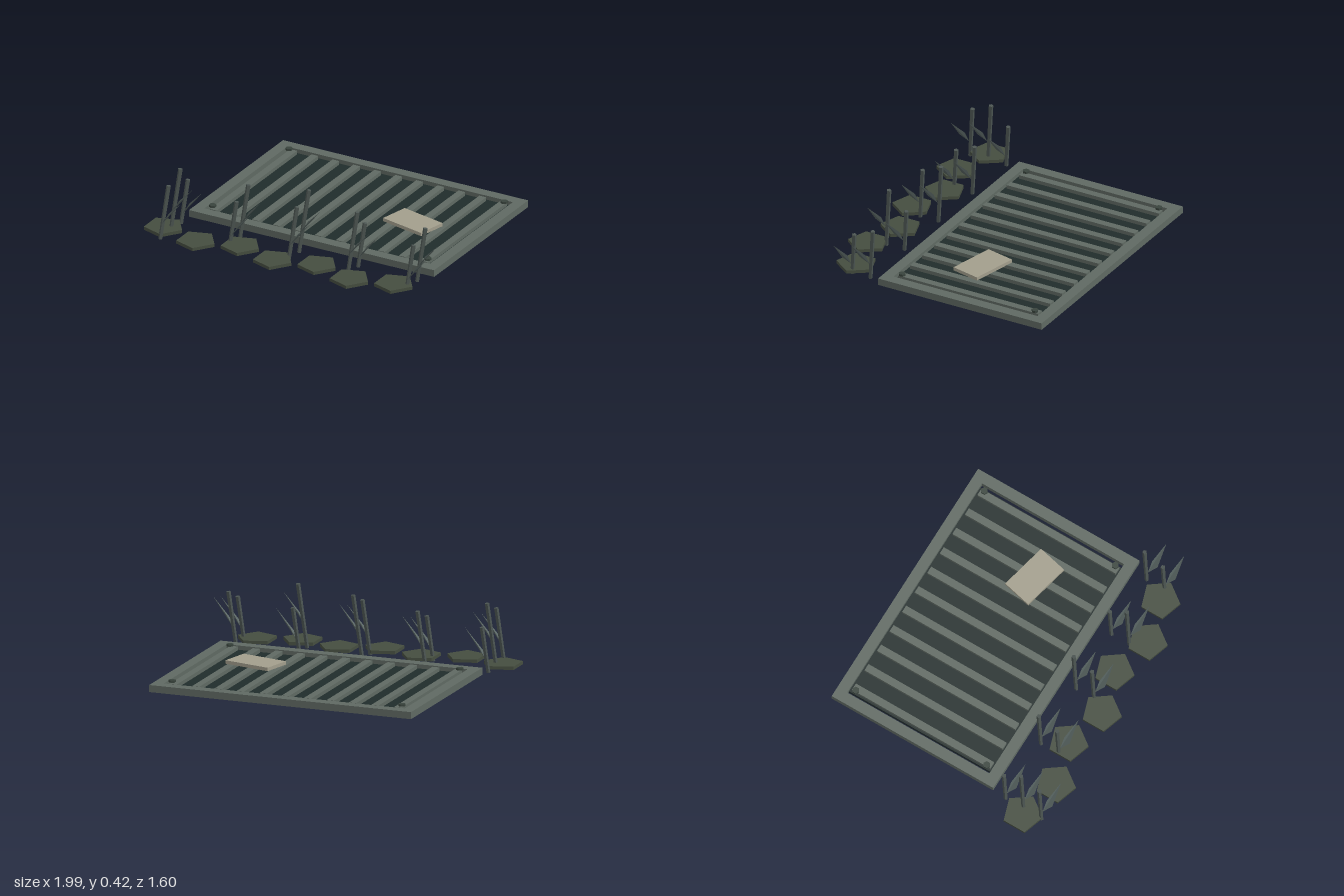
import * as THREE from 'three';

const mat = (name, color, side = THREE.FrontSide) => {
  const m = new THREE.MeshStandardMaterial({ color, side, flatShading: true });
  m.name = name;
  return m;
};

export function createModel() {
  const group = new THREE.Group();
  const steel = mat('weathered steel', 0x5f6962);
  const dark = mat('dark plate', 0x202c2b);
  const boltMat = mat('bolt', 0x39443d);
  const paper = mat('pale board', 0xa29e8c);
  const stone = mat('mossy stone', 0x454d3f);
  const stalkMat = mat('stalk', 0x4c5552);
  const leafMat = mat('leaf', 0x566260, THREE.DoubleSide);

  const add = (name, geo, material, x = 0, y = 0, z = 0) => {
    const mesh = new THREE.Mesh(geo, material);
    mesh.name = name;
    mesh.position.set(x, y, z);
    group.add(mesh);
    return mesh;
  };
  const box = (name, material, x0, x1, y0, y1, z0, z1) =>
    add(name, new THREE.BoxGeometry(x1 - x0, y1 - y0, z1 - z0), material,
      (x0 + x1) / 2, (y0 + y1) / 2, (z0 + z1) / 2);

  // Grate: outer frame, dark plate, slats and corner bolts
  box('frameBack', steel, -0.86, 0.885, 0.01, 0.055, -0.8, -0.73);
  box('frameFront', steel, -0.86, 0.885, 0.01, 0.055, 0.295, 0.365);
  box('frameRight', steel, -0.86, -0.79, 0.01, 0.055, -0.73, 0.295);
  box('frameLeft', steel, 0.815, 0.885, 0.01, 0.055, -0.73, 0.295);
  box('plate', dark, -0.77, 0.795, 0.004, 0.028, -0.735, 0.303);
  for (let i = 0; i < 11; i++) {
    const x = -0.735 + i * 0.1495;
    box('slat', steel, x - 0.024, x + 0.024, 0.028, 0.052, -0.715, 0.282);
  }
  for (const x of [-0.755, 0.777])
    for (const z of [-0.69, 0.255])
      add('bolt', new THREE.CylinderGeometry(0.023, 0.023, 0.014, 6), boltMat, x, 0.065, z);

  // Loose board lying on the grate
  add('board', new THREE.BoxGeometry(0.318, 0.022, 0.196), paper, 0.449, 0.079, -0.129)
    .rotation.y = -0.225;

  // Row of five-sided stones
  for (let i = 0; i < 7; i++)
    add('stone', new THREE.CylinderGeometry(0.127, 0.127, 0.021, 5), stone,
      -0.9 + i * 0.2733, 0.026, i % 2 ? 0.676 : 0.602).rotation.y = Math.PI / 2;

  // Leaning reeds, each a stalk with one diamond-shaped leaf
  const up = new THREE.Vector3(0, 1, 0);
  const lean = new THREE.Vector3(0.105, 1, -0.108).normalize();
  for (let i = 0; i < 11; i++) {
    const h = 0.297 + 0.0625 * (i % 3);
    const x = -0.862 + 0.42 * (i % 5);
    const z = 0.458 + 0.129 * Math.floor(i / 5);
    const stalkGeo = new THREE.CylinderGeometry(0.015, 0.013, h, 5);
    stalkGeo.translate(0, h / 2, 0);
    add('stalk', stalkGeo, stalkMat, x, 0.002, z).quaternion.setFromUnitVectors(up, lean);

    const leafGeo = new THREE.BufferGeometry();
    leafGeo.setAttribute('position', new THREE.Float32BufferAttribute([
      0.01, 0.105, 0, 0.053, 0.163, 0.045, 0.172, 0.3, 0.037, 0.062, 0.19, 0.001], 3));
    leafGeo.setIndex([0, 1, 2, 0, 2, 3]);
    leafGeo.computeVertexNormals();
    add('leaf', leafGeo, leafMat, x, 0.55 * (h - 0.36), z);
  }
  return group;
}
